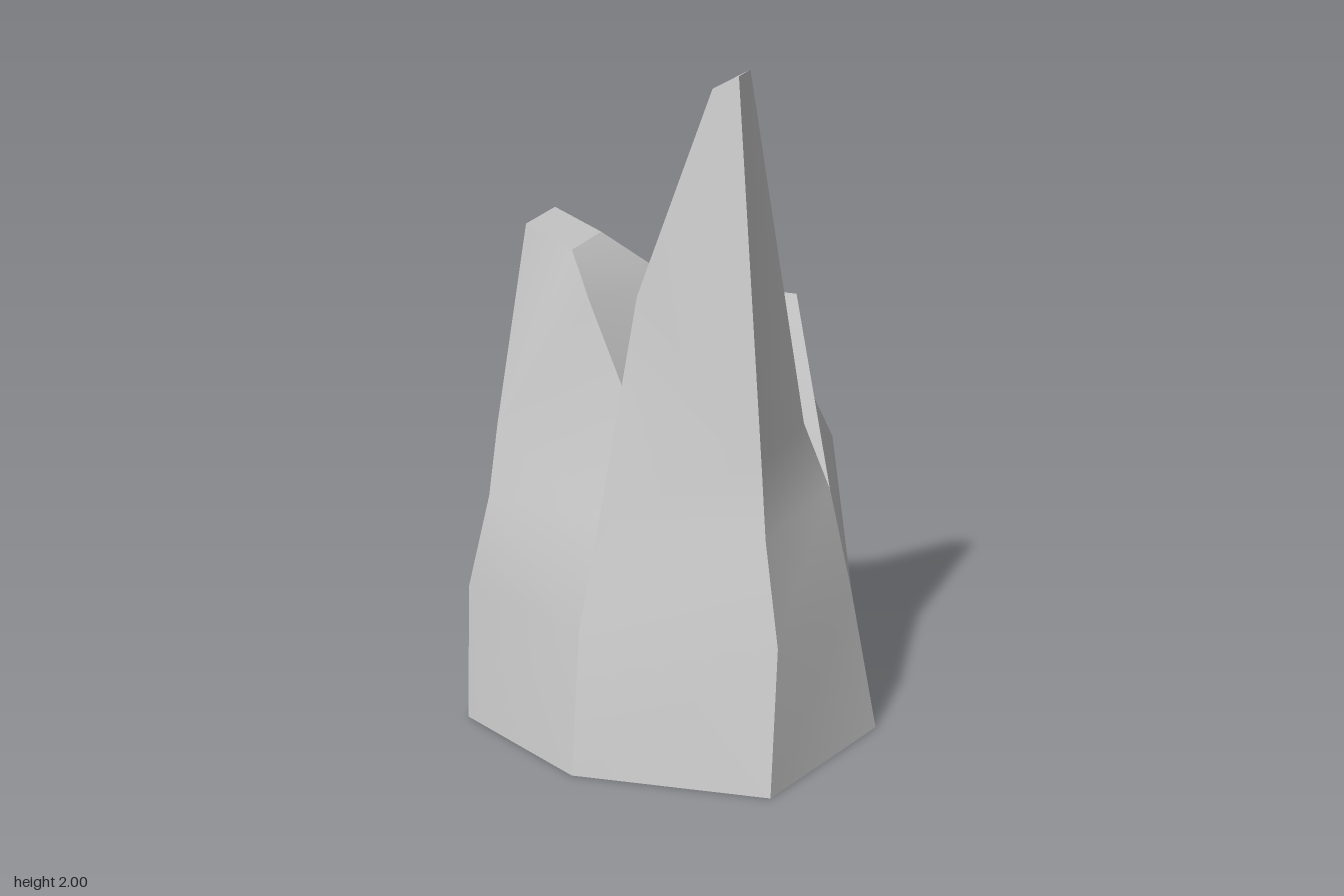
import * as THREE from 'three';
import { mergeVertices } from 'three/addons/utils/BufferGeometryUtils.js';

// Zip two rising edges together, always stepping up the side whose next point is lower
function stitch(left, right) {
  const tris = [];
  let i = 0, j = 0;
  while (i < left.length - 1 || j < right.length - 1) {
    const nl = left[i + 1], nr = right[j + 1];
    if (nl && (!nr || nl[1] < nr[1])) tris.push(left[i], right[j], nl), i++;
    else tris.push(left[i], right[j], nr), j++;
  }
  return tris;
}

// Fan of triangles from the first corner
function fan(...p) {
  const tris = [];
  for (let i = 1; i < p.length - 1; i++) tris.push(p[0], p[i], p[i + 1]);
  return tris;
}

export function createModel() {
  const group = new THREE.Group();
  group.name = 'rock';
  const material = new THREE.MeshStandardMaterial({ color: 0xcccccc });

  // Each facet is smooth inside and has hard borders
  function facet(name, tris) {
    let g = new THREE.BufferGeometry();
    g.setAttribute('position', new THREE.Float32BufferAttribute(tris.flat(), 3));
    g = mergeVertices(g);
    g.computeVertexNormals();
    const mesh = new THREE.Mesh(g, material);
    mesh.name = name;
    group.add(mesh);
  }

  // Ridges, from the ground up
  const front = [[0.04, 0, 0.72], [0.08, 0.43, 0.66], [0.08, 0.72, 0.555], [0.075, 0.94, 0.53], [0.07, 2, 0.34]];
  const frontRight = [[0.5, 0, 0.4], [0.43, 0.43, 0.36], [0.4, 0.72, 0.25], [0.31, 0.94, 0.26], [0.13, 2, 0.27]];
  const right = [[0.63, 0, -0.14], [0.6, 0.43, -0.16], [0.58, 0.72, -0.17], [0.5, 0.87, -0.13], [0.435, 1.04, -0.095], [0.385, 1.25, 0]];
  const backRight = [[0.42, 0, -0.53], [0.36, 0.43, -0.48], [0.24, 0.77, -0.44], [0.375, 0.94, -0.27], [0.375, 1.05, -0.19], [0.29, 1.25, -0.08]];
  const saddle = [0.04, 1.3, -0.06];
  const back = [[0.12, 0, -0.72], [0.11, 0.43, -0.655], [0.03, 0.81, -0.46], [0.03, 1.04, -0.27], saddle];
  const backLeft = [[-0.37, 0, -0.44], [-0.35, 0.43, -0.4], [-0.17, 0.83, -0.44], [-0.305, 0.94, -0.29], [-0.3, 1.53, -0.185]];
  const left = [[-0.63, 0, -0.07], [-0.62, 0.43, -0.06], [-0.56, 0.72, -0.03], [-0.53, 0.94, -0.03], [-0.43, 1.53, -0.04]];
  const frontLeft = [[-0.45, 0, 0.4], [-0.41, 0.43, 0.36], [-0.33, 0.75, 0.31], [-0.245, 1.12, 0.26], [-0.2, 1.38, 0.265], [0.01, 1.96, 0.295]];
  const spireBack = [saddle, [0.02, 1.35, -0.01], [0.08, 1.96, 0.225]];
  const sideEdge = [[-0.31, 1.35, 0.17], [-0.325, 1.47, 0.06]];
  const sideInner = [-0.19, 1.47, -0.09];

  // Outer walls
  facet('frontRightWall', stitch(front, frontRight));
  facet('rightWall', stitch(frontRight.slice(0, 3), right));
  facet('backRightWall', stitch(right, backRight));
  facet('backSlope', [...stitch(backRight, back), ...stitch(back, [...backLeft, sideInner])]);
  facet('backLeftWall', stitch(backLeft, left));
  facet('leftWall', stitch(left, [...frontLeft.slice(0, 4), ...sideEdge]));
  facet('frontLeftWall', stitch(frontLeft, front));

  // Tall spire: rear faces and tip
  facet('spireRear', stitch(spireBack, frontLeft.slice(3)));
  facet('spireSide', stitch(frontRight.slice(2), spireBack));
  facet('spireTip', fan(frontLeft[5], front[4], frontRight[4], spireBack[2]));

  // Clefts beside the spire and the top of the side peak
  facet('leftCleft', fan(saddle, sideInner, sideEdge[1], sideEdge[0], frontLeft[3]));
  facet('rightCleft', fan(saddle, frontRight[2], right[5], backRight[5]));
  facet('sidePeakTop', fan(left[4], sideEdge[1], sideInner, backLeft[4]));

  // Flat underside
  const ring = [front, frontRight, right, backRight, back, backLeft, left, frontLeft];
  facet('underside', fan(...ring.map((r) => r[0]).reverse()));
  return group;
}
